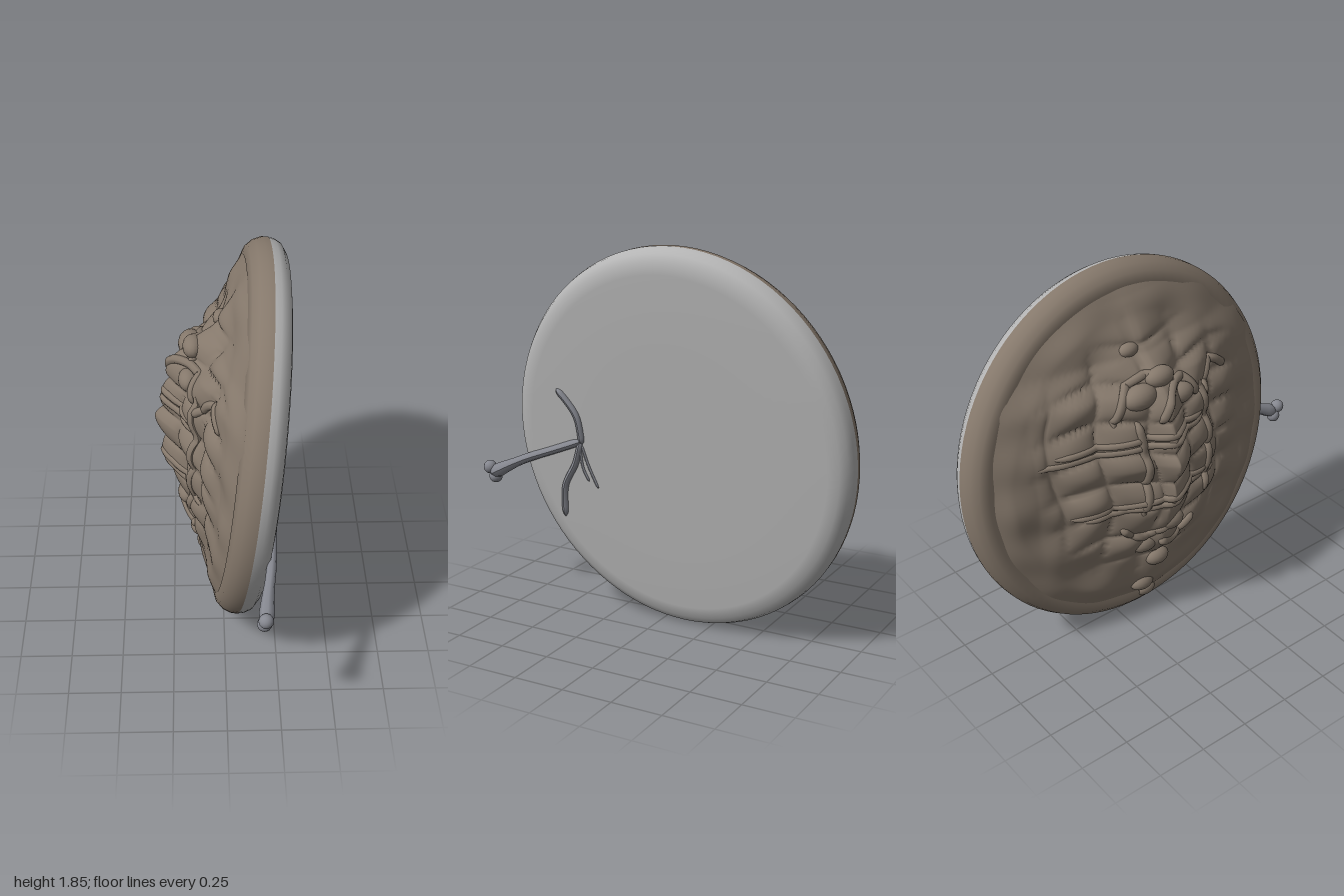
import * as THREE from 'three';

const mat = (color) => new THREE.MeshStandardMaterial({ color, roughness: 0.8 });

// Linear lookup in a short list of [position, value] pairs
function lookup(table, t) {
  if (t <= table[0][0]) return table[0][1];
  for (let i = 1; i < table.length; i++) {
    const [t0, v0] = table[i - 1], [t1, v1] = table[i];
    if (t <= t1) return v0 + (v1 - v0) * (t - t0) / (t1 - t0);
  }
  return table[table.length - 1][1];
}

const ACROSS = [[0, 1], [0.1, 0.8], [0.2, 0.66], [0.3, 0.53], [0.4, 0.41], [0.6, 0.18], [0.8, 0.03], [0.93, 0]];
const UPWARD = [[-0.93, 0], [-0.83, 0.06], [-0.53, 0.35], [-0.33, 0.63], [-0.15, 0.86], [0.05, 1],
  [0.28, 0.95], [0.42, 0.82], [0.5, 0.58], [0.56, 0.38], [0.65, 0.27], [0.8, 0.1], [0.93, 0]];

// Height of the mound above the flat face; y is up and z is across the disc
function moundHeight(y, z) {
  const r = Math.hypot(y, z / 0.94);
  const core = lookup(ACROSS, Math.abs(z - 0.02)) * lookup(UPWARD, y);
  const edge = THREE.MathUtils.smoothstep(0.93 - r, 0.02, 0.2);
  const wy = y + 0.025 * Math.sin(9 * z + 1), wz = z + 0.03 * Math.sin(8 * y);
  const lumps = Math.sqrt(Math.abs(Math.sin(wy * 19 + 0.8) * Math.sin(wz * 14 + 0.6)));
  const ripple = 0.006 * Math.sin(24 * y + 5 * z) + 0.005 * Math.sin(17 * z - 9 * y);
  const mask = THREE.MathUtils.smoothstep(core, 0.12, 0.35);
  return 0.165 + 0.04 * edge + 0.34 * core + edge * ripple + mask * 0.045 * (lumps - 0.6);
}

function addMesh(parent, name, geometry, material) {
  const mesh = new THREE.Mesh(geometry, material);
  mesh.name = name;
  parent.add(mesh);
  return mesh;
}

// Tapered round strand along a curve, with closed rounded ends
function strand(points, radii, segments = 32) {
  const curve = new THREE.CatmullRomCurve3(points.map((p) => new THREE.Vector3(...p)));
  const sides = 8;
  const geo = new THREE.TubeGeometry(curve, segments, 1, sides);
  const pos = geo.attributes.position;
  const v = new THREE.Vector3();
  for (let i = 0; i <= segments; i++) {
    const t = i / segments;
    const c = curve.getPointAt(t);
    const cap = Math.sqrt(Math.min(1, 12 * Math.min(t, 1 - t)));
    const r = cap * lookup(radii, t);
    for (let j = 0; j <= sides; j++) {
      const k = i * (sides + 1) + j;
      v.fromBufferAttribute(pos, k).sub(c).multiplyScalar(r).add(c);
      pos.setXYZ(k, v.x, v.y, v.z);
    }
  }
  geo.computeVertexNormals();
  return geo;
}

export function createModel() {
  const model = new THREE.Group();
  model.name = 'tiltedDisc';
  const disc = new THREE.Group();
  disc.name = 'disc';
  disc.position.set(0.226, 0.93, -0.12);
  disc.rotation.z = -0.105;
  model.add(disc);

  const shell = mat(0xb4b4b4), brown = mat(0x85786b), metal = mat(0x85878f);

  // Flat face that rolls over into a rounded rim
  const profile = [[0, 0], [0.5, 0], [0.82, 0.002], [0.875, 0.012], [0.91, 0.035], [0.926, 0.065], [0.932, 0.095]];
  const face = addMesh(disc, 'faceAndRim',
    new THREE.LatheGeometry(profile.map(([r, h]) => new THREE.Vector2(r, h)), 96), shell);
  face.rotation.z = Math.PI / 2;
  face.scale.z = 0.945;

  // Brown outer half of the rim
  const band = [[0.932, 0.095], [0.93, 0.125], [0.915, 0.16], [0.885, 0.19], [0.84, 0.205], [0.78, 0.19]];
  const rim = addMesh(disc, 'brownRim',
    new THREE.LatheGeometry(band.map(([r, h]) => new THREE.Vector2(r, h)), 96), brown);
  rim.rotation.z = Math.PI / 2;
  rim.scale.z = 0.945;

  // Lumpy mound on the other side
  const mound = new THREE.RingGeometry(0.001, 0.885, 160, 100);
  const pos = mound.attributes.position;
  for (let i = 0; i < pos.count; i++) {
    const z = pos.getX(i) * 0.945, y = pos.getY(i);
    pos.setXYZ(i, -moundHeight(y, z), y, z);
  }
  mound.computeVertexNormals();
  addMesh(disc, 'mound', mound, brown);

  // Strands draped over the mound, given as [y, z] points
  const drape = (path, radius) => strand(
    new THREE.SplineCurve(path.map((p) => new THREE.Vector2(...p))).getPoints(24)
      .map(({ x: y, y: z }) => [-moundHeight(y, z) + 0.005, y, z]),
    [[0, radius], [1, radius]], 48);

  // Paired horizontal bars
  for (const [y, z0, z1] of [[0.15, -0.58, 0.32], [0.19, -0.5, 0.28], [-0.16, -0.45, 0.34], [-0.2, -0.38, 0.4]]) {
    addMesh(disc, 'crossBar', drape([[y, z0], [y + 0.01, (z0 + z1) / 2], [y, z1]], 0.018), brown);
  }
  // Upright bars and loose curls
  const curls = [
    [[-0.3, 0.3], [0, 0.33], [0.35, 0.28]],
    [[-0.25, -0.1], [0, -0.09], [0.3, -0.12]],
    [[0.28, -0.22], [0.43, -0.15], [0.48, 0], [0.4, 0.12]],
    [[0.27, -0.02], [0.38, 0.04], [0.4, 0.18], [0.28, 0.26]],
    [[-0.3, -0.2], [-0.4, -0.08], [-0.36, 0.08]],
    [[-0.45, 0.0], [-0.5, 0.12], [-0.42, 0.25]],
    [[0.25, 0.3], [0.38, 0.4], [0.3, 0.52]],
  ];
  for (const c of curls) addMesh(disc, 'curl', drape(c, 0.022), brown);

  // Pebbles down the lower slope and over the upper shoulder
  for (const [y, z, r] of [[-0.84, 0.02, 0.04], [-0.75, -0.03, 0.045], [-0.6, 0.04, 0.045], [-0.46, -0.05, 0.05],
    [-0.36, 0.08, 0.05], [0.46, 0.04, 0.05], [0.4, -0.08, 0.06], [0.58, -0.04, 0.035], [0.34, 0.14, 0.05]]) {
    const pebble = addMesh(disc, 'pebble', new THREE.SphereGeometry(r, 16, 12), brown);
    pebble.position.set(-moundHeight(y, z) + r * 0.35, y, z);
    pebble.scale.z = 1.5;
  }

  // Stem lying on the flat face, with a knobbed free end past the rim
  const stem = new THREE.Group();
  stem.name = 'stem';
  disc.add(stem);
  addMesh(stem, 'handle', strand(
    [[0, -0.03, 0.49], [-0.002, -0.1, 0.66], [-0.006, -0.17, 0.83], [-0.02, -0.24, 0.97], [-0.025, -0.3, 1.08]],
    [[0, 0.02], [0.5, 0.022], [0.7, 0.024], [0.85, 0.032], [1, 0.042]]), metal);
  for (const [y, z, r] of [[-0.265, 1.085, 0.034], [-0.31, 1.055, 0.034]]) {
    addMesh(stem, 'knob', new THREE.SphereGeometry(r, 16, 12), metal).position.set(-0.03, y, z);
  }
  // Branches and fine twigs at the inner end
  const branches = [
    [[[0.22, 0.62], [0.17, 0.57], [0.09, 0.515], [-0.05, 0.495]], 0.017],
    [[[-0.03, 0.5], [-0.15, 0.54], [-0.28, 0.61], [-0.45, 0.625]], 0.017],
    [[[-0.05, 0.5], [-0.15, 0.47], [-0.27, 0.42]], 0.007],
    [[[-0.05, 0.51], [-0.17, 0.5], [-0.24, 0.47]], 0.007],
  ];
  for (const [path, r] of branches) {
    addMesh(stem, 'branch', strand(path.map(([y, z]) => [0, y, z]), [[0, r], [1, r]]), metal);
  }
  return model;
}
